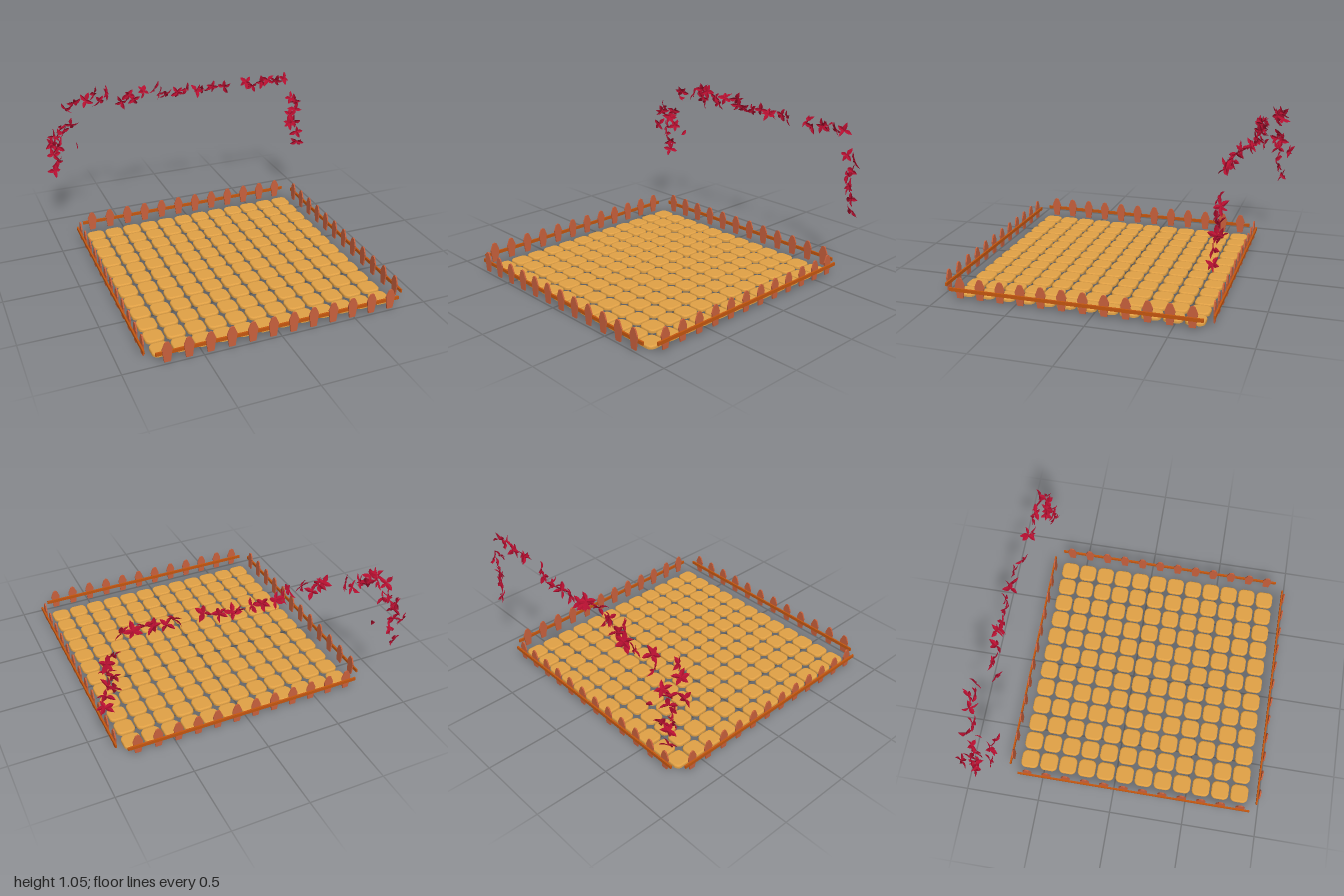
import * as THREE from 'three';

const PITCH = 0.134, COUNT = 12;
const mat = (color, extra = {}) => {
  const m = new THREE.MeshStandardMaterial({ color, ...extra });
  return m;
};
const stoneMat = mat(0xe0a045);
const picketMat = mat(0xc8603c, { flatShading: true });
const railMat = mat(0xc4560f);
const leafMat = mat(0xb50f30, { flatShading: true, side: THREE.DoubleSide });

// Small seeded generator for the foliage
let seed = 7;
const rand = (a, b) => {
  seed = (seed * 16807) % 2147483647;
  return a + (b - a) * (seed / 2147483647);
};

function add(parent, name, geometry, material, x = 0, y = 0, z = 0) {
  const mesh = new THREE.Mesh(geometry, material);
  mesh.name = name;
  mesh.position.set(x, y, z);
  parent.add(mesh);
  return mesh;
}

// Paving stone: rounded square with a bevelled top and a flat base
function stoneGeometry() {
  const h = 0.051, r = 0.026, b = 0.01;
  const s = new THREE.Shape();
  s.moveTo(-h + r, -h);
  s.absarc(h - r, -h + r, r, -Math.PI / 2, 0);
  s.absarc(h - r, h - r, r, 0, Math.PI / 2);
  s.absarc(-h + r, h - r, r, Math.PI / 2, Math.PI);
  s.absarc(-h + r, -h + r, r, Math.PI, Math.PI * 1.5);
  const g = new THREE.ExtrudeGeometry(s, {
    depth: 0.011, bevelThickness: b, bevelSize: b, bevelSegments: 3, curveSegments: 4,
  });
  g.rotateX(-Math.PI / 2);
  const p = g.attributes.position;
  for (let i = 0; i < p.count; i++) p.setY(i, Math.max(0, p.getY(i)));
  g.computeVertexNormals();
  return g;
}

// Pointed picket, widest at the shoulder
function picketGeometry() {
  const s = new THREE.Shape([
    [-0.02, 0.012], [0.02, 0.012], [0.032, 0.1], [0.014, 0.143],
    [0, 0.149], [-0.014, 0.143], [-0.032, 0.1],
  ].map(([x, y]) => new THREE.Vector2(x, y)));
  const g = new THREE.ExtrudeGeometry(s, { depth: 0.009, bevelEnabled: false });
  return g.translate(0, 0, -0.0045);
}

// Leaf growing along +y, folded along its rib and curved backwards
function leafGeometry() {
  const g = new THREE.PlaneGeometry(2, 1, 2, 4);
  const p = g.attributes.position;
  const half = [0.002, 0.012, 0.0145, 0.0095, 0];
  for (let i = 0; i < p.count; i++) {
    const t = p.getY(i) + 0.5;
    const side = p.getX(i);
    const w = half[Math.round(t * 4)];
    p.setXYZ(i, side * w, t * 0.056, Math.abs(side) * w * 0.45 - 0.012 * t * t);
  }
  g.computeVertexNormals();
  return g;
}

// One fence side along local x, pickets on local +z
function fence(name, picket, x, z, turn) {
  const g = new THREE.Group();
  g.name = name;
  add(g, 'rail', new THREE.BoxGeometry(1.61, 0.022, 0.011), railMat, 0, 0.069, 0);
  for (let i = 0; i < COUNT; i++) {
    add(g, 'picket', picket, picketMat, (i - (COUNT - 1) / 2) * PITCH, 0, 0.0105);
  }
  g.position.set(x, 0, z);
  g.rotation.y = turn;
  return g;
}

// Sprig of leaves fanned around a centre
function sprig(leaf, [x, y, z], leaves) {
  const g = new THREE.Group();
  g.name = 'leafSprig';
  const start = rand(0, Math.PI * 2);
  for (let i = 0; i < leaves; i++) {
    const m = add(g, 'leaf', leaf, leafMat);
    m.rotation.order = 'ZXY';
    m.rotation.set(rand(-0.2, 0.7), rand(-0.5, 0.5),
      start + (i / leaves) * Math.PI * 2 + rand(-0.3, 0.3));
    m.scale.setScalar(rand(0.85, 1.1));
  }
  g.rotation.set(rand(-0.7, 0.7), rand(-0.9, 0.9), 0);
  g.position.set(x, y, z);
  return g;
}

export function createModel() {
  const model = new THREE.Group();
  model.name = 'fencedPatio';

  // Paving
  const paving = new THREE.Group();
  paving.name = 'paving';
  const stone = stoneGeometry();
  for (let i = 0; i < COUNT; i++) {
    for (let j = 0; j < COUNT; j++) {
      add(paving, 'pavingStone', stone, stoneMat, -0.725 + i * PITCH, 0, -0.611 + j * PITCH);
    }
  }
  model.add(paving);

  // Fences
  const picket = picketGeometry();
  model.add(
    fence('frontFence', picket, 0.012, 0.983, 0),
    fence('backFence', picket, 0.012, -0.732, 0),
    fence('rightFence', picket, -0.848, 0.135, Math.PI / 2),
    fence('leftFence', picket, 0.873, 0.124, -Math.PI / 2),
  );

  // Vine: leaf sprigs along the hanging ends and the top run
  const strands = {
    rightVine: [
      [-0.94, 0.45, -0.89], [-0.92, 0.53, -0.87], [-0.94, 0.59, -0.85], [-0.94, 0.64, -0.94],
      [-0.93, 0.66, -0.85], [-0.93, 0.72, -0.87], [-0.9, 0.74, -0.84], [-0.87, 0.79, -0.86],
      [-0.92, 0.69, -0.75], [-0.88, 0.81, -0.74], [-0.83, 0.86, -0.71],
    ],
    topVine: [
      [-0.82, 0.91, -0.88], [-0.77, 0.96, -0.85], [-0.67, 0.95, -0.89], [-0.61, 0.99, -0.91],
      [-0.58, 0.94, -0.88], [-0.53, 0.99, -0.88], [-0.44, 0.95, -0.78], [-0.38, 0.98, -0.82],
      [-0.34, 0.94, -0.82], [-0.27, 0.99, -0.81], [-0.18, 1.0, -0.83], [-0.15, 0.96, -0.82],
      [-0.1, 0.95, -0.82], [-0.01, 0.95, -0.82], [0.06, 0.96, -0.83], [0.14, 0.94, -0.82],
      [0.18, 0.95, -0.82], [0.26, 0.96, -0.82], [0.34, 0.96, -0.78],
      [0.52, 0.97, -0.78], [0.56, 0.94, -0.77], [0.64, 0.96, -0.78], [0.69, 0.97, -0.77],
      [0.76, 0.96, -0.77], [0.82, 0.96, -0.77],
    ],
    leftVine: [
      [0.87, 0.81, -0.75], [0.92, 0.78, -0.77], [0.92, 0.71, -0.75], [0.88, 0.67, -0.76],
      [0.92, 0.61, -0.75], [0.89, 0.59, -0.77], [0.93, 0.53, -0.74], [0.94, 0.45, -0.74],
    ],
  };
  const leaf = leafGeometry();
  for (const [name, points] of Object.entries(strands)) {
    const vine = new THREE.Group();
    vine.name = name;
    points.forEach((p, i) => vine.add(sprig(leaf, p, 4 + (i % 2))));
    model.add(vine);
  }

  // Single stray leaf
  const stray = add(model, 'strayLeaf', leaf, leafMat, -0.77, 0.61, -0.85);
  stray.rotation.set(0, 1.2, -0.9);

  return model;
}
